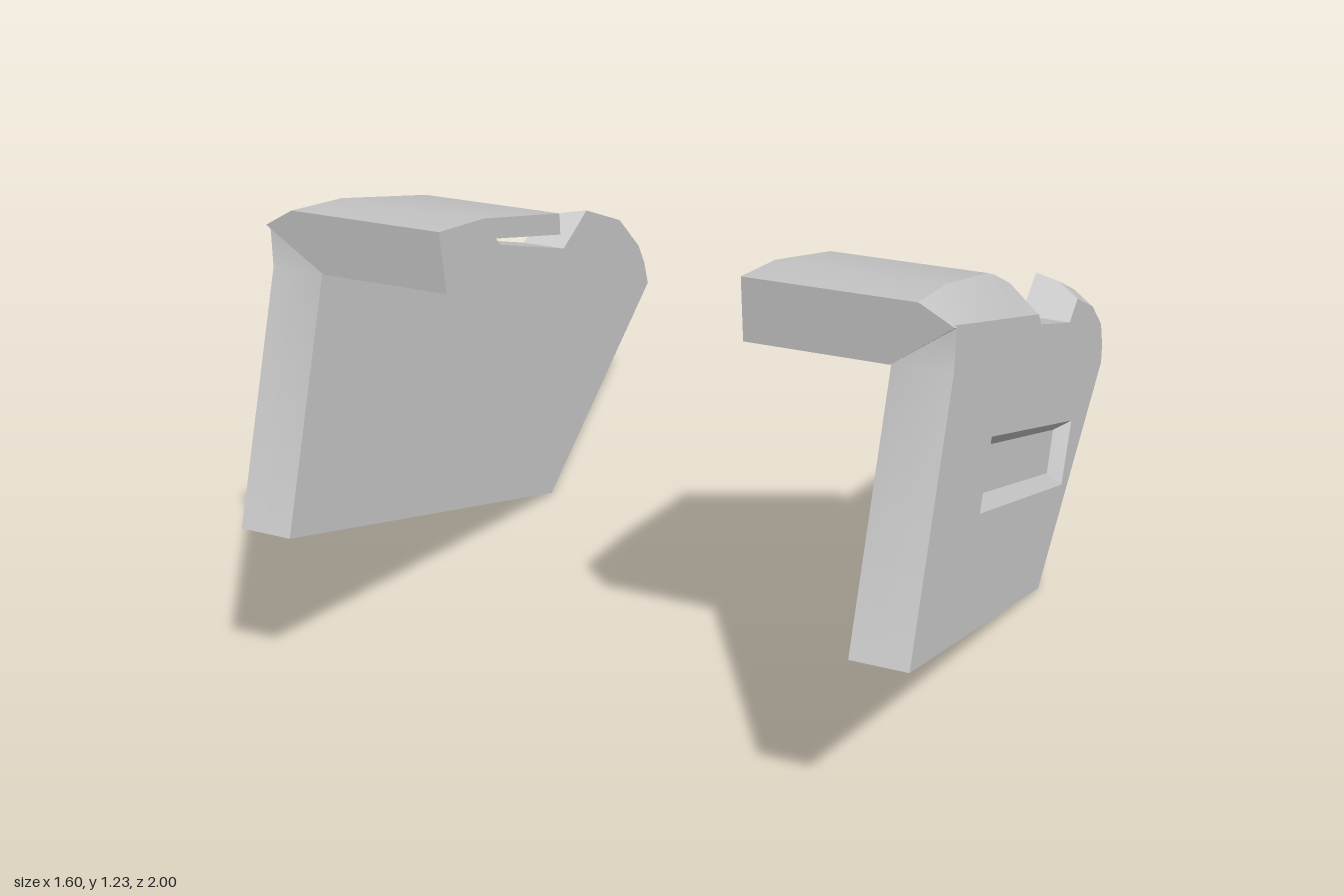
import * as THREE from 'three';
import { toCreasedNormals } from 'three/addons/utils/BufferGeometryUtils.js';

const material = new THREE.MeshStandardMaterial({ color: 0xcccccc });

// Collects triangles; side = -1 mirrors them in x and turns the winding to match
class Faces {
  constructor(side) { this.side = side; this.points = []; }
  tri(a, b, c) {
    const area = new THREE.Triangle(a, b, c).getArea();
    if (area < 1e-7) return;
    for (const p of this.side > 0 ? [a, b, c] : [a, c, b]) this.points.push(p.x * this.side, p.y, p.z);
  }
  quad(a, b, c, d) { this.tri(a, b, c); this.tri(a, c, d); }
  // Joins two matching loops, both counter-clockwise when seen from the first one
  strip(A, B, inward = false) {
    A.forEach((p, i) => {
      const j = (i + 1) % A.length;
      if (inward) this.quad(p, A[j], B[j], B[i]);
      else this.quad(p, B[i], B[j], A[j]);
    });
  }
  fan(loop, flip = false) {
    for (let i = 1; i < loop.length - 1; i++) {
      if (flip) this.tri(loop[0], loop[i + 1], loop[i]);
      else this.tri(loop[0], loop[i], loop[i + 1]);
    }
  }
  // Flat cap in a plane of constant x, facing +x (dir 1) or -x (dir -1)
  cap(loop, hole, dir) {
    const flat = (l) => l.map((p) => new THREE.Vector2(-p.z, p.y));
    const all = [...loop, ...hole];
    const holes = hole.length ? [flat(hole)] : [];
    for (const f of THREE.ShapeUtils.triangulateShape(flat(loop), holes)) {
      const [a, b, c] = f.map((i) => all[i]);
      const n = new THREE.Triangle(a, b, c).getNormal(new THREE.Vector3());
      if (n.x * dir > 0) this.tri(a, b, c);
      else this.tri(a, c, b);
    }
  }
  mesh(name, crease) {
    const g = new THREE.BufferGeometry();
    g.setAttribute('position', new THREE.Float32BufferAttribute(this.points, 3));
    const m = new THREE.Mesh(toCreasedNormals(g, crease), material);
    m.name = name;
    return m;
  }
}

const OUT = 0.8, IN = 0.67, FLOOR = 0.76;

// Plate outline: z, y on the outer face, then z, y on the inner face where they differ
const OUTLINE = [
  [1, 0.52], [-0.28, 0.004],
  [-0.965, 0.39, -1, 0.41], [-0.955, 0.45, -0.975, 0.49], [-0.905, 0.535, -0.935, 0.56],
  [-0.745, 0.65, -0.8, 0.69], [-0.505, 0.765, -0.575, 0.795],
  [-0.42, 0.73], [-0.05, 0.87], [-0.015, 0.91], [0.77, 1.19], [0.775, 1.085],
];
// Slot rim and its smaller floor, z and y
const RIM = [[0.47, 0.615], [-0.495, 0.215], [-0.565, 0.38], [0.4, 0.775]];
const SLOT_FLOOR = [[0.435, 0.63], [-0.48, 0.25], [-0.52, 0.365], [0.39, 0.735]];

function sidePlate(side) {
  const f = new Faces(side);
  // t runs from the outer face (0) to the inner face (1); the hump rounds off between
  const layer = (x, t) => OUTLINE.map(([z, y, zi = z, yi = y]) =>
    new THREE.Vector3(x, y + (yi - y) * t, z + (zi - z) * t));
  const loopAt = (pts, x) => pts.map(([z, y]) => new THREE.Vector3(x, y, z));
  const outer = layer(OUT, 0), mid = layer(0.735, 0.72), inner = layer(IN, 1);
  const rim = loopAt(RIM, OUT), floor = loopAt(SLOT_FLOOR, FLOOR);
  f.cap(outer, rim, 1);
  f.strip(outer, mid);
  f.strip(mid, inner);
  f.cap(inner, [], -1);
  // recessed slot
  f.strip(rim, floor, true);
  f.cap(floor, [], 1);
  return f.mesh('sidePlate', 0.4);
}

// Shelf sections from front to back: z, inner x of top and underside, top y, chamfer y, underside y
const SECTIONS = [
  [0.79, 0.35, 0.35, 1.235, 1.19, 1.085],
  [0.59, 0.35, 0.35, 1.2, 1.125, 1.15],
  [0.22, 0.35, 0.35, 1.09, 0.995, 1.035],
  [0.15, 0.45, 0.45, 1.06, 0.97, 0.997],
  [-0.013, 0.71, 0.665, 0.98, 0.91, 0.91],
];

function shelf(side) {
  const f = new Faces(side);
  const loops = SECTIONS.map(([z, xt, xb, yt, yc, yb], i) => {
    const lean = i === 0 ? 0.1 : 0; // the front face leans back towards its foot
    return [
      [xb, yb], [IN - 0.003, yb], [IN - 0.003, Math.min(yb, yc)], [OUT, yc], [0.725, yt], [xt, yt],
    ].map(([x, y]) => new THREE.Vector3(x, y, z - lean * (yt - y)));
  });
  f.fan(loops[0]);
  for (let i = 0; i < loops.length - 1; i++) f.strip(loops[i], loops[i + 1]);
  f.fan(loops[loops.length - 1], true);
  return f.mesh('topShelf', 0.35);
}

export function createModel() {
  const model = new THREE.Group();
  model.name = 'sideGuards';
  for (const [side, name] of [[1, 'leftGuard'], [-1, 'rightGuard']]) {
    const guard = new THREE.Group();
    guard.name = name;
    guard.add(sidePlate(side), shelf(side));
    model.add(guard);
  }
  return model;
}
